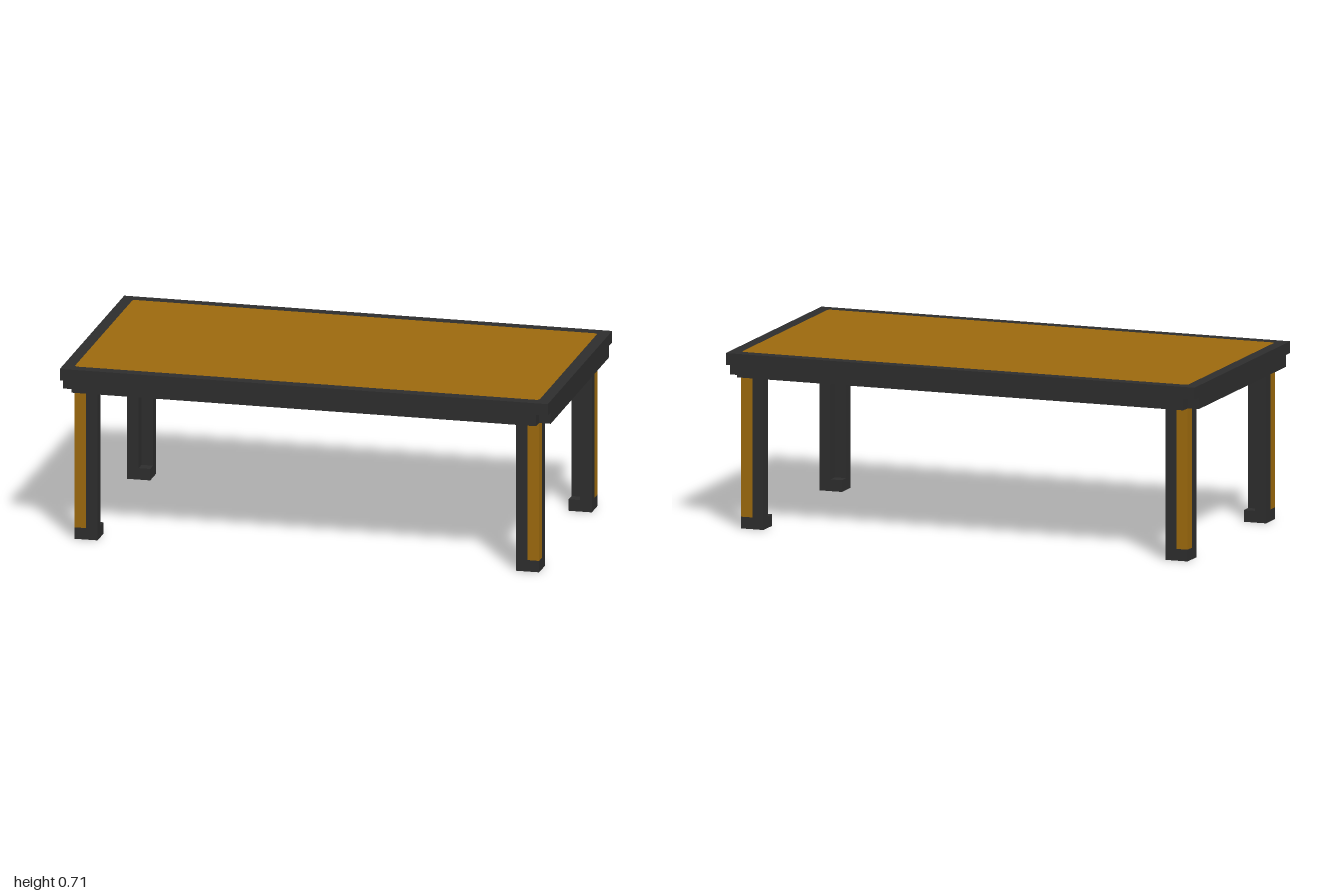
import * as THREE from 'three';

const WOOD = new THREE.MeshStandardMaterial({ color: 0x9c690d });
WOOD.name = 'warm wood';
const METAL = new THREE.MeshStandardMaterial({ color: 0x2d2d2d });
METAL.name = 'dark metal';

const HX = 1, HZ = 0.523;            // half size of the top
const T = 0.0475;                    // thickness shared by rim, rails and leg bars
const TOP = 0.715, SLAB = TOP - T, RAIL = SLAB - T;

// Box given by its minimum and maximum corners
function box(name, material, min, max) {
  const size = max.map((v, i) => v - min[i]);
  const mesh = new THREE.Mesh(new THREE.BoxGeometry(...size), material);
  mesh.position.set(...max.map((v, i) => (v + min[i]) / 2));
  mesh.name = name;
  return mesh;
}

// Rectangle outline with small rounded corners
function roundedRect(path, hx, hz, r) {
  path.moveTo(-hx + r, -hz);
  path.lineTo(hx - r, -hz).quadraticCurveTo(hx, -hz, hx, -hz + r);
  path.lineTo(hx, hz - r).quadraticCurveTo(hx, hz, hx - r, hz);
  path.lineTo(-hx + r, hz).quadraticCurveTo(-hx, hz, -hx, hz - r);
  path.lineTo(-hx, -hz + r).quadraticCurveTo(-hx, -hz, -hx + r, -hz);
  return path;
}

function slab(name, shape, material) {
  const geometry = new THREE.ExtrudeGeometry(shape, { depth: T, bevelEnabled: false, curveSegments: 3 });
  geometry.rotateX(-Math.PI / 2).translate(0, SLAB, 0);
  const mesh = new THREE.Mesh(geometry, material);
  mesh.name = name;
  return mesh;
}

// Corner leg: wooden outer post, two metal bars forming an L, square foot
function makeLeg(sx, sz) {
  const leg = new THREE.Group();
  leg.name = (sz > 0 ? 'front' : 'back') + (sx > 0 ? 'Left' : 'Right') + 'Leg';
  const ox = HX - T, oz = HZ - T;    // outer corner of the leg
  const part = (name, material, x0, x1, y0, y1, z0, z1) => {
    const xs = [sx * x0, sx * x1].sort((a, b) => a - b);
    const zs = [sz * z0, sz * z1].sort((a, b) => a - b);
    leg.add(box(name, material, [xs[0], y0, zs[0]], [xs[1], y1, zs[1]]));
  };
  part('foot', METAL, ox - 2 * T, ox, 0, T, oz - 2 * T, oz);
  part('woodPost', WOOD, ox - T, ox, T, RAIL, oz - T, oz);
  part('postCap', METAL, ox - T, ox, RAIL, SLAB, oz - T, oz);
  part('barAlongX', METAL, ox - 2 * T, ox - T, T, SLAB, oz - T, oz);
  part('barAlongZ', METAL, ox - T, ox, T, SLAB, oz - 2 * T, oz - T);
  return leg;
}

export function createModel() {
  const table = new THREE.Group();
  table.name = 'table';

  // Wooden panel set flush in a metal rim
  const ix = HX - T, iz = HZ - T, r = 0.015;
  const rim = new THREE.Shape();
  rim.moveTo(-HX, -HZ).lineTo(HX, -HZ).lineTo(HX, HZ).lineTo(-HX, HZ).lineTo(-HX, -HZ);
  rim.holes.push(roundedRect(new THREE.Path(), ix, iz, r));
  table.add(slab('topRim', rim, METAL));
  table.add(slab('topPanel', roundedRect(new THREE.Shape(), ix, iz, r), WOOD));

  // Lower rails, stopping short of the corners
  for (const s of [-1, 1]) {
    const x = s * (HX - T / 2), z = s * (HZ - T / 2);
    table.add(box(s > 0 ? 'frontRail' : 'backRail', METAL, [-ix, RAIL, z - T / 2], [ix, SLAB, z + T / 2]));
    table.add(box(s > 0 ? 'leftRail' : 'rightRail', METAL, [x - T / 2, RAIL, -iz], [x + T / 2, SLAB, iz]));
  }

  for (const sx of [-1, 1]) for (const sz of [-1, 1]) table.add(makeLeg(sx, sz));
  return table;
}
